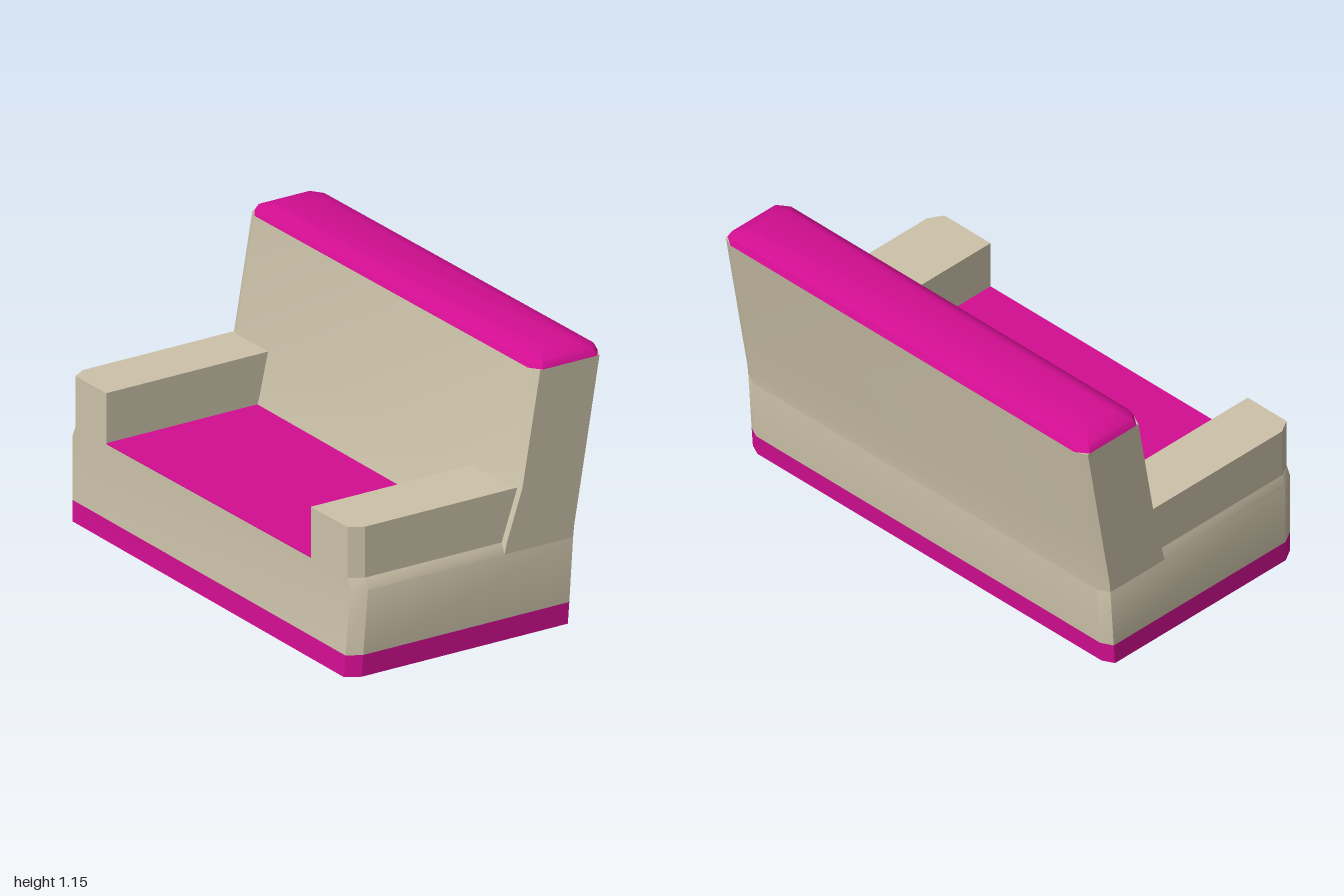
import * as THREE from 'three';
import { toCreasedNormals } from 'three/addons/utils/BufferGeometryUtils.js';

const beige = new THREE.MeshStandardMaterial({ color: 0xcdc3aa });
beige.name = 'beige upholstery';
const magenta = new THREE.MeshStandardMaterial({ color: 0xd30e92 });
magenta.name = 'magenta trim';

const TINY = 0.0005;

// Horizontal outline with cut corners; skew slants the front (-x) edge along z.
// front/back = [cut along x, cut along z]; keep0/keep1 = false leaves that z end square.
function ring(y, x0, x1, z0, z1, { front = [0.06, 0.035], back = [0.025, 0.05], skew = 0, cut0 = true, cut1 = true } = {}) {
  const fx = (z) => x0 - skew * z;
  const c = (cut, on) => (on ? cut : [TINY, TINY]);
  const [f0, f1, b0, b1] = [c(front, cut0), c(front, cut1), c(back, cut0), c(back, cut1)];
  return [
    [fx(z0) + f0[0], y, z0], [fx(z0), y, z0 + f0[1]],
    [fx(z1), y, z1 - f1[1]], [fx(z1) + f1[0], y, z1],
    [x1 - b1[0], y, z1], [x1, y, z1 - b1[1]],
    [x1, y, z0 + b0[1]], [x1 - b0[0], y, z0],
  ];
}

// Closed solid through a stack of outlines, bottom to top.
function loft(name, material, rings, crease = 0.5) {
  const n = rings[0].length;
  const index = [];
  for (let r = 0; r < rings.length - 1; r++) {
    for (let i = 0; i < n; i++) {
      const a = r * n + i, b = r * n + (i + 1) % n;
      index.push(a, b, b + n, a, b + n, a + n);
    }
  }
  const top = (rings.length - 1) * n;
  for (let i = 1; i < n - 1; i++) {
    index.push(0, i + 1, i);
    index.push(top, top + i, top + i + 1);
  }
  const geo = new THREE.BufferGeometry();
  geo.setAttribute('position', new THREE.Float32BufferAttribute(rings.flat(2), 3));
  geo.setIndex(index);
  const mesh = new THREE.Mesh(toCreasedNormals(geo, crease), material);
  mesh.name = name;
  return mesh;
}

export function createModel() {
  const group = new THREE.Group();
  group.name = 'sofa';

  // Base trim and lower body, flaring slightly toward the floor at the front
  group.add(loft('baseTrim', magenta, [
    ring(0, -0.59, 0.455, -1, 1, { skew: 0.015 }),
    ring(0.09, -0.586, 0.462, -1, 1, { skew: 0.012 }),
  ]));
  group.add(loft('body', beige, [
    ring(0.09, -0.586, 0.462, -1, 1, { skew: 0.012 }),
    ring(0.36, -0.575, 0.48, -1, 1),
    ring(0.405, -0.575, 0.475, -0.98, 0.98),
  ]));

  // Leaning backrest
  const lean = { front: [0.025, 0.05] };
  group.add(loft('backrest', beige, [
    ring(0.36, 0.118, 0.48, -1, 1, { ...lean, skew: 0.0125 }),
    ring(0.41, 0.13, 0.485, -1, 1, { ...lean, skew: 0.0125 }),
    ring(0.62, 0.19, 0.522, -1, 1, lean),
    ring(1.1, 0.275, 0.605, -1, 1, lean),
  ]));

  // Rounded cap along the top of the backrest
  group.add(loft('backrestCap', magenta, [
    ring(1.1, 0.275, 0.605, -1, 1, { front: [0.035, 0.05], back: [0.035, 0.05] }),
    ring(1.128, 0.285, 0.595, -0.985, 0.985, { front: [0.035, 0.05], back: [0.035, 0.05] }),
    ring(1.15, 0.33, 0.53, -0.92, 0.92, { front: [0.02, 0.03], back: [0.02, 0.03] }),
  ], 0.8));

  // Armrests, square on the inside and cut at the outer corners
  const arms = [
    ['rightArmrest', -0.98, -0.73, { cut1: false }],
    ['leftArmrest', 0.69, 0.98, { cut0: false }],
  ];
  for (const [name, z0, z1, cuts] of arms) {
    group.add(loft(name, beige, [0.405, 0.62].map((y) => ring(y, -0.575, y < 0.5 ? 0.2 : 0.25, z0, z1, cuts))));
  }

  // Thin seat panel between the armrests
  const seat = new THREE.Mesh(new THREE.BoxGeometry(0.755, 0.004, 1.42), magenta);
  seat.position.set(-0.1975, 0.407, -0.02);
  seat.name = 'seat';
  group.add(seat);

  return group;
}
